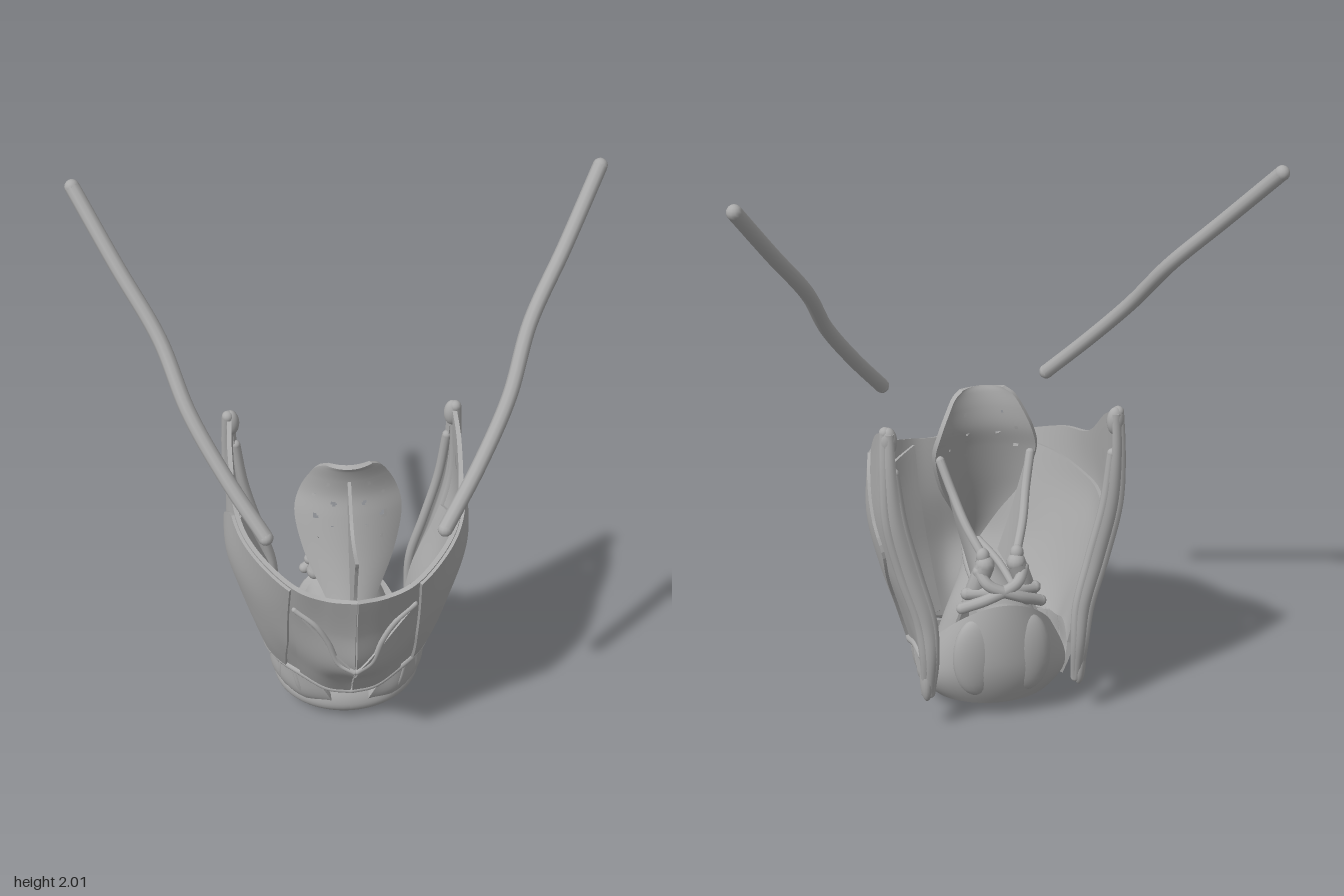
import * as THREE from 'three';
import { mergeGeometries } from 'three/addons/utils/BufferGeometryUtils.js';

const V = (p) => new THREE.Vector3(...p);
const clamp = THREE.MathUtils.clamp;

// Smooth surface through columns of points: u runs over columns, v along each column
function surface(columns) {
  const curves = columns.map((c) => new THREE.CatmullRomCurve3(c.map(V)));
  return (u, v) => {
    const pts = curves.map((c) => c.getPoint(clamp(v, 0, 1)));
    return new THREE.CatmullRomCurve3(pts).getPoint(clamp(u, 0, 1));
  };
}

function normalAt(f, u, v, e = 0.004) {
  const du = f(u + e, v).sub(f(u - e, v));
  const dv = f(u, v + e).sub(f(u, v - e));
  return du.cross(dv).normalize();
}

// Thin closed slab following a surface; hole(point) removes cells
function slab(f, thick, n, m, hole = () => false) {
  const outer = [], inner = [], pos = [], idx = [];
  for (let i = 0; i <= n; i++) for (let j = 0; j <= m; j++) {
    const p = f(i / n, j / m), d = normalAt(f, i / n, j / m).multiplyScalar(thick / 2);
    outer.push(p.clone().add(d));
    inner.push(p.sub(d));
  }
  const at = (i, j) => i * (m + 1) + j, total = outer.length;
  for (const p of [...outer, ...inner]) pos.push(p.x, p.y, p.z);
  for (let i = 0; i < n; i++) for (let j = 0; j < m; j++) {
    const a = at(i, j), b = at(i + 1, j), c = at(i + 1, j + 1), d = at(i, j + 1);
    if (hole(outer[a].clone().add(outer[c]).multiplyScalar(0.5))) continue;
    idx.push(a, b, c, a, c, d);
    idx.push(a + total, c + total, b + total, a + total, d + total, c + total);
  }
  // edge walls
  const loop = [];
  for (let i = 0; i < n; i++) loop.push(at(i, 0));
  for (let j = 0; j < m; j++) loop.push(at(n, j));
  for (let i = n; i > 0; i--) loop.push(at(i, m));
  for (let j = m; j > 0; j--) loop.push(at(0, j));
  loop.forEach((a, k) => {
    const b = loop[(k + 1) % loop.length], s = pos.length / 3;
    for (const p of [outer[a], inner[a], inner[b], outer[b]]) pos.push(p.x, p.y, p.z);
    idx.push(s, s + 1, s + 2, s, s + 2, s + 3);
  });
  const g = new THREE.BufferGeometry();
  g.setAttribute('position', new THREE.Float32BufferAttribute(pos, 3));
  g.setIndex(idx);
  g.computeVertexNormals();
  return g;
}

// Round cord with rounded ends
function cord(points, r, seg = 32) {
  const curve = new THREE.CatmullRomCurve3(points.map(V));
  const ends = [points[0], points[points.length - 1]].map((p) =>
    new THREE.SphereGeometry(r, 12, 8).translate(...p));
  return mergeGeometries([new THREE.TubeGeometry(curve, seg, r, 10), ...ends]);
}

function ball(p, s) {
  return new THREE.SphereGeometry(1, 20, 14).scale(...s).translate(...p);
}

function mirrored(g) {
  const m = g.clone().scale(-1, 1, 1), a = m.index.array;
  for (let i = 0; i < a.length; i += 3) [a[i], a[i + 1]] = [a[i + 1], a[i]];
  return m;
}

export function createModel() {
  const model = new THREE.Group();
  const grey = new THREE.MeshStandardMaterial({ color: 0xaaaaaa, side: THREE.DoubleSide });
  grey.name = 'grey';
  const add = (name, g) => {
    const mesh = new THREE.Mesh(g, grey);
    mesh.name = name;
    model.add(mesh);
  };
  const pair = (name, g) => { add(name + 'Left', g); add(name + 'Right', mirrored(g)); };

  // Shield wall, from the front keel to the rear border
  const wall = surface([
    [[0, .18, .15], [0, .30, .22], [0, .44, .345], [0, .62, .375], [0, .81, .425]],
    [[.08, .19, .14], [.10, .30, .20], [.10, .44, .29], [.10, .62, .335], [.10, .80, .39]],
    [[.17, .23, .10], [.18, .33, .15], [.19, .46, .22], [.20, .64, .28], [.20, .82, .35]],
    [[.24, .24, .03], [.27, .36, .08], [.30, .50, .12], [.325, .68, .17], [.33, .88, .21]],
    [[.28, .24, -.06], [.32, .38, -.04], [.37, .55, -.03], [.405, .72, 0], [.385, .92, .06]],
    [[.28, .27, -.17], [.32, .40, -.17], [.38, .58, -.16], [.41, .75, -.14], [.40, 1.06, -.12]],
    [[.27, .24, -.28], [.29, .40, -.295], [.35, .60, -.275], [.40, .80, -.27], [.395, 1.12, -.25]],
  ]);
  pair('shieldWall', slab(wall, 0.016, 100, 70,
    (p) => ((p.z + .19) / .017) ** 2 + ((p.y - .93) / .036) ** 2 < 1));

  // Layers on the wall, bounded by edges given as [column, height]; lift(t) is the offset
  const layer = (left, right, lift, n, m) => {
    const l = new THREE.SplineCurve(left.map((p) => new THREE.Vector2(...p)));
    const r = new THREE.SplineCurve(right.map((p) => new THREE.Vector2(...p)));
    const f = (s, t) => {
      const q = l.getPoint(clamp(t, 0, 1)).lerp(r.getPoint(clamp(t, 0, 1)), clamp(s, 0, 1));
      const u = clamp(q.x / 6, .001, .999), v = clamp(q.y, .005, .995);
      return wall(u, v).addScaledVector(normalAt(wall, u, v), lift(clamp(t, 0, 1)));
    };
    return slab(f, 0.014, n, m);
  };
  pair('sideMuscle', layer(
    [[2.6, .03], [2.4, .3], [2.25, .5], [2.15, .75], [2.1, .99]],
    [[4.1, .03], [4.6, .33], [5.3, .6], [4.6, .84], [4.05, .99]], () => .012, 20, 28));
  pair('frontPlate', layer(
    [[0, .01], [0, .17], [0, .34], [0, .5]],
    [[2.0, .01], [2.0, .3], [2.0, .6], [2.0, .83]], () => .008, 20, 20));
  pair('innerLining', layer([[2, .03], [2, .5], [2, .97]], [[5.9, .03], [5.9, .3], [5.9, .6]],
    (t) => -.014 - .024 * (1 - t), 24, 20));
  const onWall = ([u, v]) => wall(u / 6, v).addScaledVector(normalAt(wall, u / 6, v), .01).toArray();
  pair('notchRim', cord([[0, .5], [.5, .54], [.9, .68], [1.35, .78], [2, .83]].map(onWall), .011));
  pair('lowerRim', cord([[0, .01], [1, .01], [2, .01], [3, .01], [4, .01], [5, .01], [5.7, .03]].map(onWall), .012));

  // Broad rear border turned inward, with upper and lower horns
  const edge = [[.40, 1.12, -.25], [.405, .98, -.265], [.40, .8, -.272], [.355, .6, -.277],
    [.30, .42, -.29], [.28, .28, -.295], [.27, .13, -.265]];
  const inward = [.02, .03, .05, .055, .045, .03, .01];
  const shifted = (k, dz) => edge.map(([x, y, z], i) => [x - inward[i] * k, y, z + dz]);
  pair('rearBand', slab(surface([edge, shifted(.5, -.015), shifted(1, -.01)]), .028, 10, 40));
  pair('rearBorder', cord(edge, .021, 48));
  pair('innerBorder', cord(shifted(1, -.008).slice(1), .017, 40));
  pair('upperHorn', ball([.39, 1.09, -.255], [.03, .05, .026]));
  pair('lowerHorn', ball([.272, .19, -.27], [.024, .09, .036]));

  // Base ring, low in front and tall behind, drawn in toward the bottom
  const ring = (s, t) => {
    const a = 2 * Math.PI * s, back = (1 - Math.cos(a)) / 2;
    const low = .005 + .05 * back + .018 * Math.sin(a) ** 2, high = .12 + .32 * back ** 1.6;
    const w = t < .45 ? 1 - .26 * (1 - t / .45) ** 2 : 1 - .12 * ((t - .45) / .55) ** 2;
    const taper = 1 - .22 * t * back;
    return new THREE.Vector3(Math.sin(a) * .265 * w * taper, low + (high - low) * t,
      -.095 + Math.cos(a) * .192 * w);
  };
  add('baseRing', slab(ring, 0.03, 72, 16));
  pair('rearMuscle', ball([.09, .24, -.25], [.085, .15, .045]));

  // Fan muscles between the base ring and the wall
  const fan = surface([
    [[.05, .03, .065], [.07, .10, .10], [.13, .21, .10]],
    [[.14, .035, .025], [.18, .11, .07], [.20, .23, .075]],
    [[.22, .07, -.05], [.26, .15, -.02], [.25, .25, .01]],
    [[.235, .09, -.16], [.27, .16, -.14], [.28, .27, -.11]],
  ]);
  pair('fanMuscle', slab(fan, .02, 24, 14));
  for (const u of [.25, .5, .72]) {
    pair('fanStrand', cord([0, .33, .66, 1].map((v) => fan(u + .08 * v, v).toArray()), .012, 16));
  }

  // Leaf-shaped lid with pores: half width, height, depth
  const leafLine = new THREE.CatmullRomCurve3([[.03, .46, .25], [.08, .6, .18], [.15, .75, .12],
    [.182, .9, .075], [.165, .98, .055], [.135, 1.05, .058], [.105, 1.1, .07], [.075, 1.12, .08]].map(V));
  const leaf = (s, t) => {
    const q = leafLine.getPoint(clamp(t, 0, 1)), k = clamp(s, 0, 1) * 2 - 1;
    return new THREE.Vector3(q.x * k, q.y, q.z - .35 * q.x * k * k);
  };
  const pores = [[.055, .95, .012], [.12, .9, .012], [.06, .87, .007], [.07, 1.03, .007], [.12, .98, .007], [.11, .82, .007]];
  add('leafLid', slab(leaf, .018, 60, 90, (p) =>
    pores.some(([x, y, r]) => Math.hypot(Math.abs(p.x) - x, p.y - y) < r)));

  // Central fin in front of the lid
  add('centralFin', slab(surface([
    [[0, .5, .24], [0, .72, .15], [0, .9, .08], [0, 1.05, .07]],
    [[0, .6, .30], [0, .72, .25], [0, .84, .2], [0, .93, .19]],
    [[0, .78, .34], [0, .83, .32], [0, .88, .30], [0, .925, .29]],
    [[0, .91, .38], [0, .925, .387], [0, .94, .394], [0, .955, .40]],
  ]), .012, 24, 16));

  // Small rear cartilages, folds and membranes inside
  pair('rearCartilage', cord([[.10, .44, -.21], [.08, .51, -.22], [.055, .58, -.225]], .034));
  pair('rearKnob', ball([.06, .61, -.215], [.024, .03, .024]));
  pair('upperFold', cord([[.06, .61, -.21], [.10, .69, -.13], [.13, .78, -.05], [.16, .88, .01]], .016));
  pair('foldMembrane', slab(surface([
    [[.08, .47, -.2], [.08, .54, -.21], [.065, .61, -.21]],
    [[.07, .48, -.08], [.09, .58, -.09], [.115, .72, -.1]],
    [[.06, .49, .06], [.1, .64, .04], [.155, .88, .01]],
  ]), .01, 16, 12));
  pair('vocalCord', cord([[.065, .45, -.18], [.055, .45, .05], [.015, .45, .29]], .014));
  pair('lowerCone', slab(surface([
    [[.16, .3, -.18], [.12, .4, -.18], [.065, .45, -.18]],
    [[.19, .19, -.02], [.13, .34, 0], [.055, .45, .05]],
    [[.05, .13, .07], [.03, .3, .17], [.015, .45, .29]],
  ]), .01, 18, 12));

  // Crossing strands at the back
  pair('crossStrand', cord([[.14, .43, -.24], [.05, .475, -.275], [-.05, .52, -.265], [-.08, .56, -.23]], .02));
  add('levelStrand', cord([[-.12, .48, -.23], [0, .49, -.26], [.12, .48, -.23]], .022));

  // Long slanting rods
  pair('slantingRod', cord([[.885, 1.975, -.405], [.75, 1.765, -.235], [.62, 1.57, -.08],
    [.535, 1.38, .08], [.42, 1.2, .22], [.30, 1.04, .34]], .026, 48));
  return model;
}
